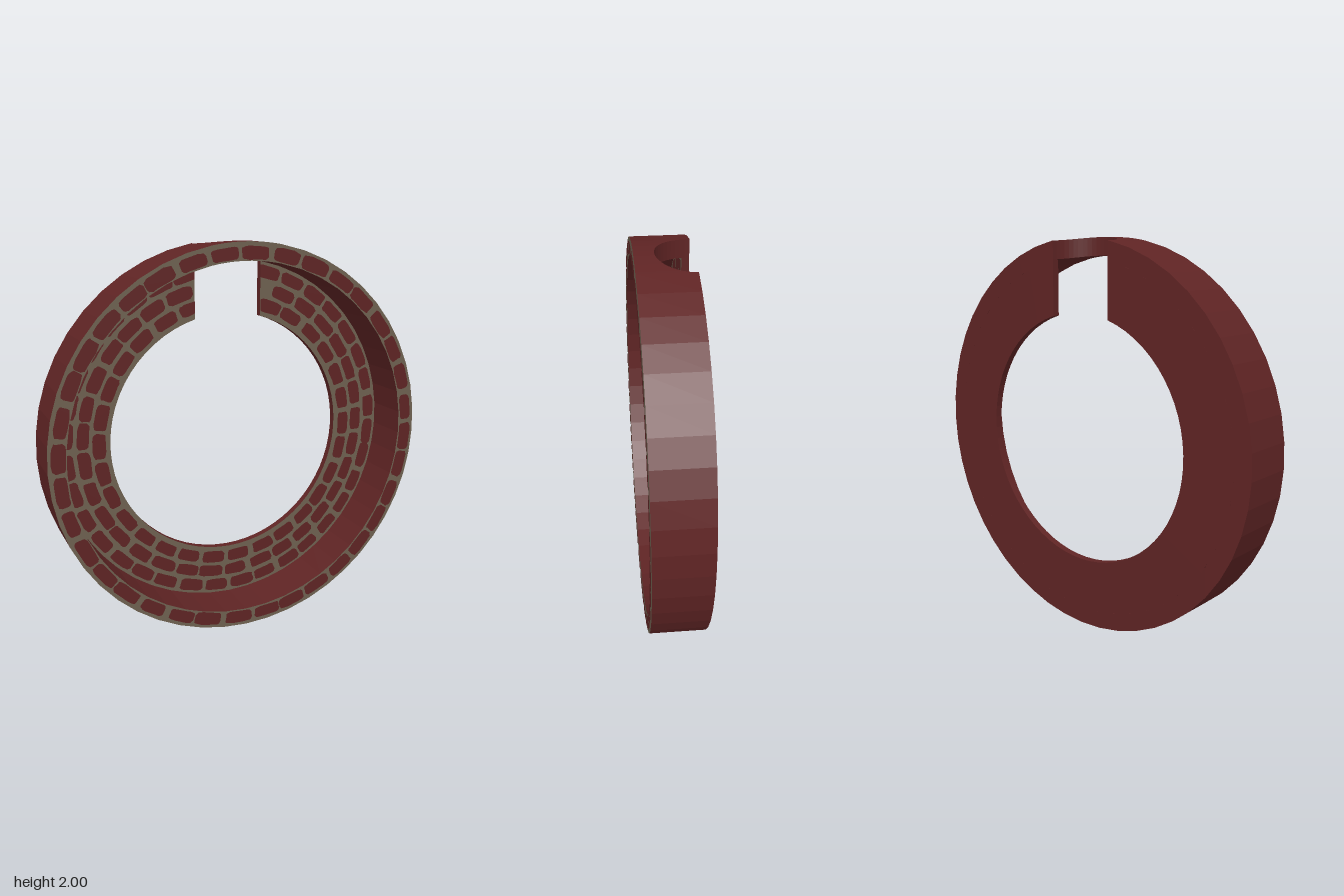
import * as THREE from 'three';
import { mergeGeometries } from 'three/addons/utils/BufferGeometryUtils.js';

const BACK = -0.137, FRONT = 0.137, PLATE_FRONT = -0.1;
const NOTCH = 0.18;                 // half width of the notch
const R_OUT = 1, R_RIM = 0.91, R_HOLE = 0.64;

const brick = new THREE.MeshStandardMaterial({ color: 0x5f2424 });
brick.name = 'brickRed';
const mortar = new THREE.MeshStandardMaterial({ color: 0x6e6150 });
mortar.name = 'mortarGrey';

// Small seeded generator for the irregular bricks
let seed = 11;
function rand() {
  seed = (seed * 16807) % 2147483647;
  return seed / 2147483647;
}
const jitter = (amount) => (rand() * 2 - 1) * amount;

// Stations clockwise from one notch edge round to the other
function ringStations(rOuter, rInner, steps) {
  const at = (r, t) => {
    const start = Math.asin(NOTCH / r);
    const a = start + (Math.PI * 2 - 2 * start) * t;
    return [r * Math.sin(a), 1 + r * Math.cos(a)];
  };
  const list = [];
  for (let i = 0; i <= steps; i++) {
    list.push({ outer: at(rOuter, i / steps), inner: at(rInner, i / steps), back: BACK });
  }
  return list;
}

// Stations of the rim over the notch, hollowed by a half-round cut
function bridgeStations(steps) {
  const list = [];
  for (let i = 0; i <= steps; i++) {
    const a = Math.PI * (i / steps);
    const x = -NOTCH * Math.cos(a);
    list.push({
      outer: [x, 1 + Math.sqrt(R_OUT ** 2 - x * x)],
      inner: [x, 1 + Math.sqrt(R_RIM ** 2 - x * x)],
      back: BACK + NOTCH * Math.sin(a),
    });
  }
  return list;
}

// Rectangular section carried through the stations; front face is mortar
function sweep(stations, front, capped) {
  const sections = stations.map(({ outer, inner, back }) => [
    [...outer, front], [...outer, back], [...inner, back], [...inner, front],
  ]);
  const pos = [];
  const quad = (a, b, c, d) => pos.push(...a, ...b, ...c, ...a, ...c, ...d);
  let frontStart = 0;
  for (let k = 0; k < 4; k++) {
    if (k === 3) {
      if (capped) {
        quad(...sections[0]);
        quad(...[...sections[sections.length - 1]].reverse());
      }
      frontStart = pos.length / 3;
    }
    const n = (k + 1) % 4;
    for (let s = 0; s < sections.length - 1; s++) {
      quad(sections[s][k], sections[s + 1][k], sections[s + 1][n], sections[s][n]);
    }
  }
  const geo = new THREE.BufferGeometry();
  geo.setAttribute('position', new THREE.Float32BufferAttribute(pos, 3));
  geo.computeVertexNormals();
  geo.addGroup(0, frontStart, 0);
  geo.addGroup(frontStart, pos.length / 3 - frontStart, 1);
  return geo;
}

// One course of ragged, rounded bricks laid round the ring
function brickCourse({ radius, count, height, z, phase, cut }) {
  const pieces = [];
  const pitch = (Math.PI * 2) / count;
  const soft = (v) => Math.sign(v) * Math.abs(v) ** 0.42;
  for (let i = 0; i < count; i++) {
    const mid = (i + phase) * pitch + jitter(pitch * 0.05);
    const halfLength = pitch * (0.435 + jitter(0.035));
    const halfHeight = height / 2 + jitter(0.002);
    const top = Math.cos(mid) > 0;
    const cx = radius * Math.sin(mid);
    if (cut && top && Math.abs(cx) < NOTCH + 0.01) continue;
    const points = [];
    for (let j = 0; j < 20; j++) {
      const t = ((j + 0.5) / 20) * Math.PI * 2;
      const a = mid + halfLength * soft(Math.cos(t)) * (1 + jitter(0.05));
      const r = radius + halfHeight * soft(Math.sin(t)) * (1 + jitter(0.07));
      let x = r * Math.sin(a);
      // Bricks beside the notch stop at its edge
      if (cut && top && Math.abs(x) < NOTCH) x = Math.sign(cx) * NOTCH;
      points.push(new THREE.Vector2(x, 1 + r * Math.cos(a)));
    }
    const geo = new THREE.ShapeGeometry(new THREE.Shape(points));
    geo.translate(0, 0, z + 0.003);
    pieces.push(geo);
  }
  return mergeGeometries(pieces);
}

export function createModel() {
  seed = 11;
  const model = new THREE.Group();
  model.name = 'brickRing';
  const add = (name, geometry, material) => {
    const mesh = new THREE.Mesh(geometry, material);
    mesh.name = name;
    model.add(mesh);
  };

  // Deep outer rim, its hollowed top, and the thin plate behind the recess
  add('outerRim', sweep(ringStations(R_OUT, R_RIM, 46), FRONT, false), [brick, mortar]);
  add('rimOverNotch', sweep(bridgeStations(24), FRONT, false), [brick, mortar]);
  add('backPlate', sweep(ringStations(R_RIM, R_HOLE, 60), PLATE_FRONT, true), [brick, mortar]);

  // Brick courses on the front faces
  const courses = [
    { name: 'rimBricks', radius: 0.948, count: 36, height: 0.066, z: FRONT, phase: 0.3, cut: false },
    { name: 'outerPlateBricks', radius: 0.862, count: 36, height: 0.064, z: PLATE_FRONT, phase: 0.5, cut: true },
    { name: 'middlePlateBricks', radius: 0.779, count: 33, height: 0.064, z: PLATE_FRONT, phase: 0.2, cut: true },
    { name: 'innerPlateBricks', radius: 0.697, count: 30, height: 0.066, z: PLATE_FRONT, phase: 0.6, cut: true },
  ];
  for (const course of courses) add(course.name, brickCourse(course), brick);

  return model;
}
